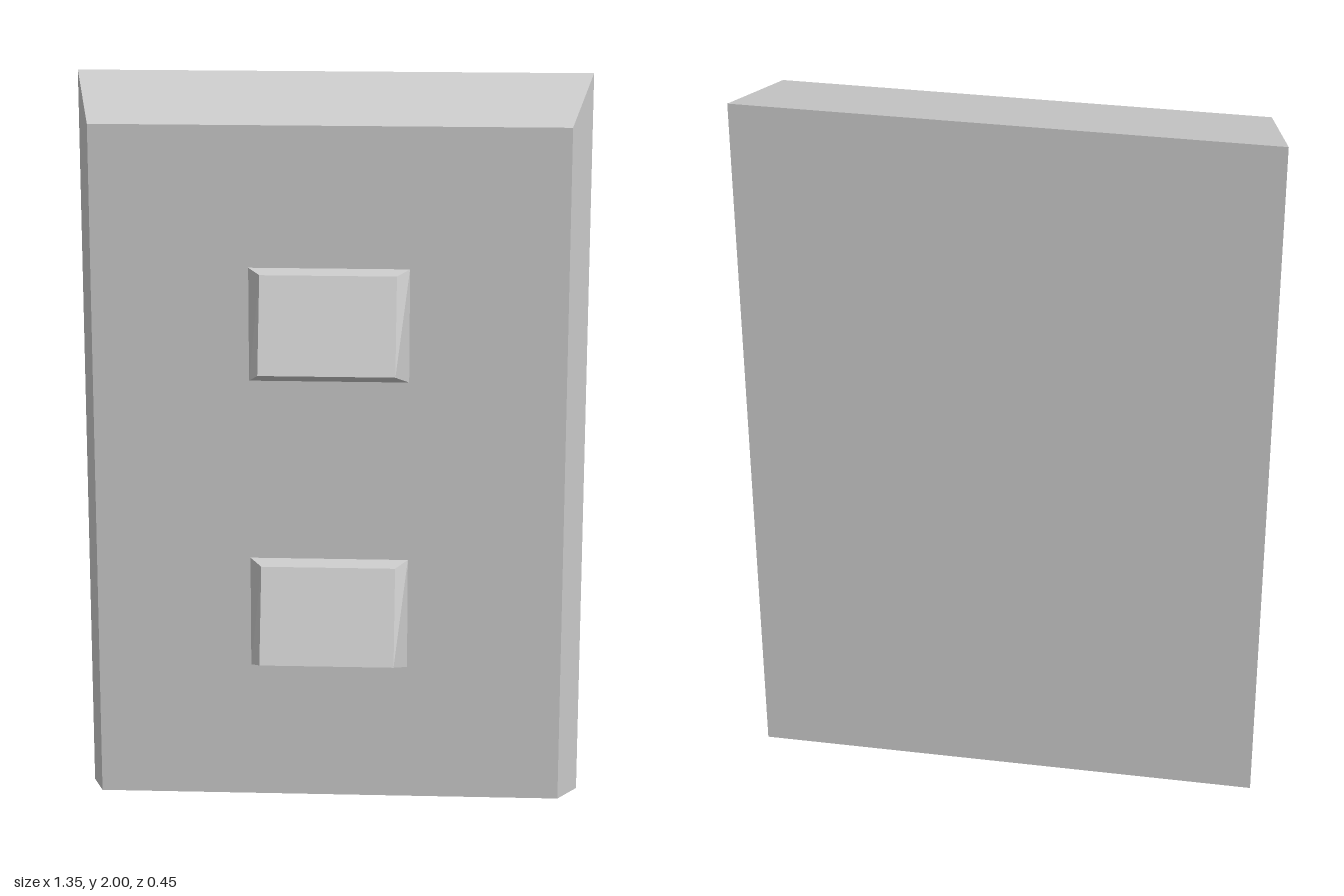
import * as THREE from 'three';

const material = new THREE.MeshStandardMaterial({ color: 0xcccccc, flatShading: true });

// Box whose back and front rectangles differ; the front top and bottom edges have their own depth.
function taperedBox(name, back, front) {
  const geometry = new THREE.BoxGeometry(2, 2, 2);
  const p = geometry.attributes.position;
  for (let i = 0; i < p.count; i++) {
    const end = p.getZ(i) > 0 ? front : back;
    const [y, z] = p.getY(i) > 0 ? end.top : end.bottom;
    p.setXYZ(i, p.getX(i) * end.halfWidth, y, z);
  }
  geometry.computeVertexNormals();
  const mesh = new THREE.Mesh(geometry, material);
  mesh.name = name;
  return mesh;
}

export function createModel() {
  const group = new THREE.Group();
  group.name = 'switchPanel';
  const faceZ = 0.083;

  // Bevelled wall plate
  group.add(taperedBox('plate',
    { halfWidth: 0.675, bottom: [0, -0.225], top: [2, -0.225] },
    { halfWidth: 0.613, bottom: [0.096, faceZ], top: [1.908, faceZ] }));

  // Two tilted rocker switches, sticking out further at the bottom
  [['upperSwitch', 1.243], ['lowerSwitch', 0.464]].forEach(([name, y]) => {
    const rocker = taperedBox(name,
      { halfWidth: 0.207, bottom: [0, faceZ], top: [0.298, faceZ] },
      { halfWidth: 0.175, bottom: [0.049, 0.225], top: [0.29, 0.134] });
    rocker.position.y = y;
    group.add(rocker);
  });

  return group;
}
